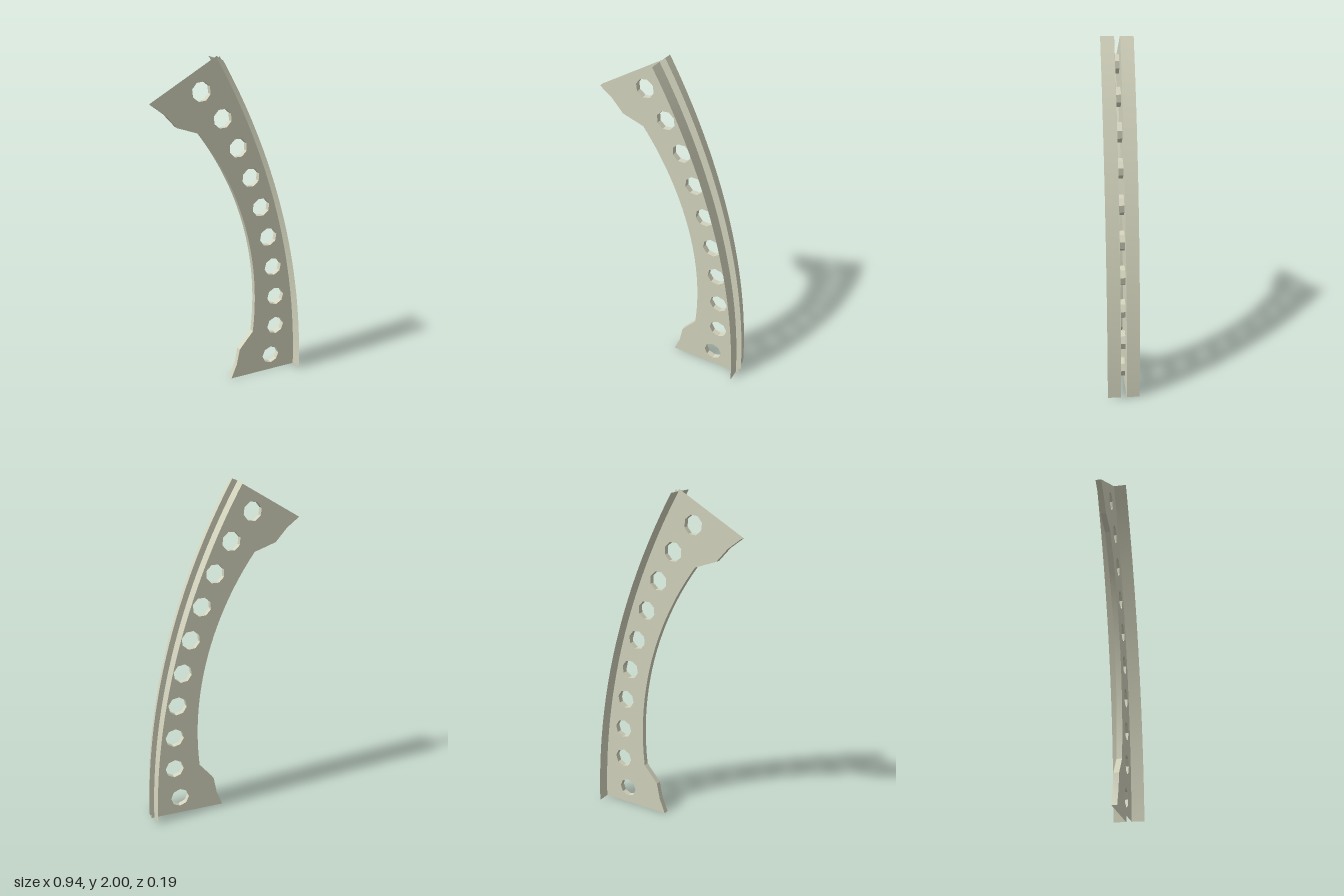
import * as THREE from 'three';
import { toCreasedNormals } from 'three/addons/utils/BufferGeometryUtils.js';

const CX = -3.534;          // centre of the outer arc, at y = 0
const OUTER = 4;            // radius of the web's outer edge
const FLANGE = 3.981;       // radius of the flanges
const SWEEP = 30;           // degrees; the rib mirrors about half of this
const WEB_Z = 0.0165, FLANGE_Z = 0.0925;

// point at a radius and angle (degrees) about the arc centre
const polar = (r, deg) => {
  const a = THREE.MathUtils.degToRad(deg);
  return new THREE.Vector2(CX + r * Math.cos(a), r * Math.sin(a));
};

const arc = (r, n) => Array.from({ length: n + 1 }, (_, i) => polar(r, (SWEEP * i) / n));

// sheet swept along z from a path; it faces the right of the path's direction
function strip(path, z0, z1) {
  const pos = [];
  for (let i = 0; i < path.length - 1; i++) {
    const p = path[i], q = path[i + 1];
    pos.push(p.x, p.y, z0, q.x, q.y, z0, q.x, q.y, z1);
    pos.push(p.x, p.y, z0, q.x, q.y, z1, p.x, p.y, z1);
  }
  const g = new THREE.BufferGeometry();
  g.setAttribute('position', new THREE.Float32BufferAttribute(pos, 3));
  return toCreasedNormals(g, 0.3);
}

// inner edge from bottom to top: foot, shallow arc, mirrored foot
function innerEdge() {
  const foot = [[3.537, 0], [3.575, 1.44], [3.599, 3.03], [3.696, 4.58]];
  const pts = foot.map(([r, a]) => polar(r, a));
  const c = polar(1.932, SWEEP / 2);
  const start = pts[3], end = polar(3.696, SWEEP - 4.58);
  const radius = c.distanceTo(start);
  const a0 = Math.atan2(start.y - c.y, start.x - c.x);
  const a1 = Math.atan2(end.y - c.y, end.x - c.x);
  const n = 28;
  for (let i = 1; i < n; i++) {
    const a = a0 + ((a1 - a0) * i) / n;
    pts.push(new THREE.Vector2(c.x + radius * Math.cos(a), c.y + radius * Math.sin(a)));
  }
  foot.reverse().forEach(([r, a]) => pts.push(polar(r, SWEEP - a)));
  return pts;
}

// octagonal lightening holes, clockwise
function holePaths() {
  const radii = [3.815, 3.856, 3.873, 3.883, 3.89];
  return [...radii, ...radii.slice().reverse()].map((r, i) => {
    const deg = SWEEP / 2 + (i - 4.5) * 2.99;
    const c = polar(r, deg);
    return Array.from({ length: 9 }, (_, k) => {
      const a = THREE.MathUtils.degToRad(deg) - (k % 8) * Math.PI / 4;
      return new THREE.Vector2(c.x + 0.057 * Math.cos(a), c.y + 0.057 * Math.sin(a));
    });
  });
}

export function createModel() {
  const group = new THREE.Group();
  group.name = 'curvedRib';
  const paint = new THREE.MeshStandardMaterial({ color: 0xd4d4be, side: THREE.DoubleSide });
  paint.name = 'paleGreyGreen';

  const add = (geometry, name) => {
    const mesh = new THREE.Mesh(geometry, paint);
    mesh.name = name;
    group.add(mesh);
    return mesh;
  };

  // web sheets, open along the outer curve and both ends
  const inner = innerEdge();
  const holes = holePaths();
  const outline = new THREE.Shape([...arc(OUTER, 40), ...inner.slice().reverse()]);
  holes.forEach((h) => outline.holes.push(new THREE.Path(h.slice(0, 8))));

  const front = new THREE.ShapeGeometry(outline);
  const back = front.clone();
  back.index.array.reverse();
  back.computeVertexNormals();
  add(front, 'webFront').position.z = WEB_Z;
  add(back, 'webBack').position.z = -WEB_Z;

  // walls between the sheets
  add(strip(inner.slice().reverse(), -WEB_Z, WEB_Z), 'innerEdge');
  holes.forEach((h, i) => add(strip(h, -WEB_Z, WEB_Z), `holeWall${i + 1}`));

  // flanges on either side of the web
  const rim = arc(FLANGE, 40);
  add(strip(rim, WEB_Z, FLANGE_Z), 'frontFlange');
  add(strip(rim, -FLANGE_Z, -WEB_Z), 'backFlange');

  return group;
}
